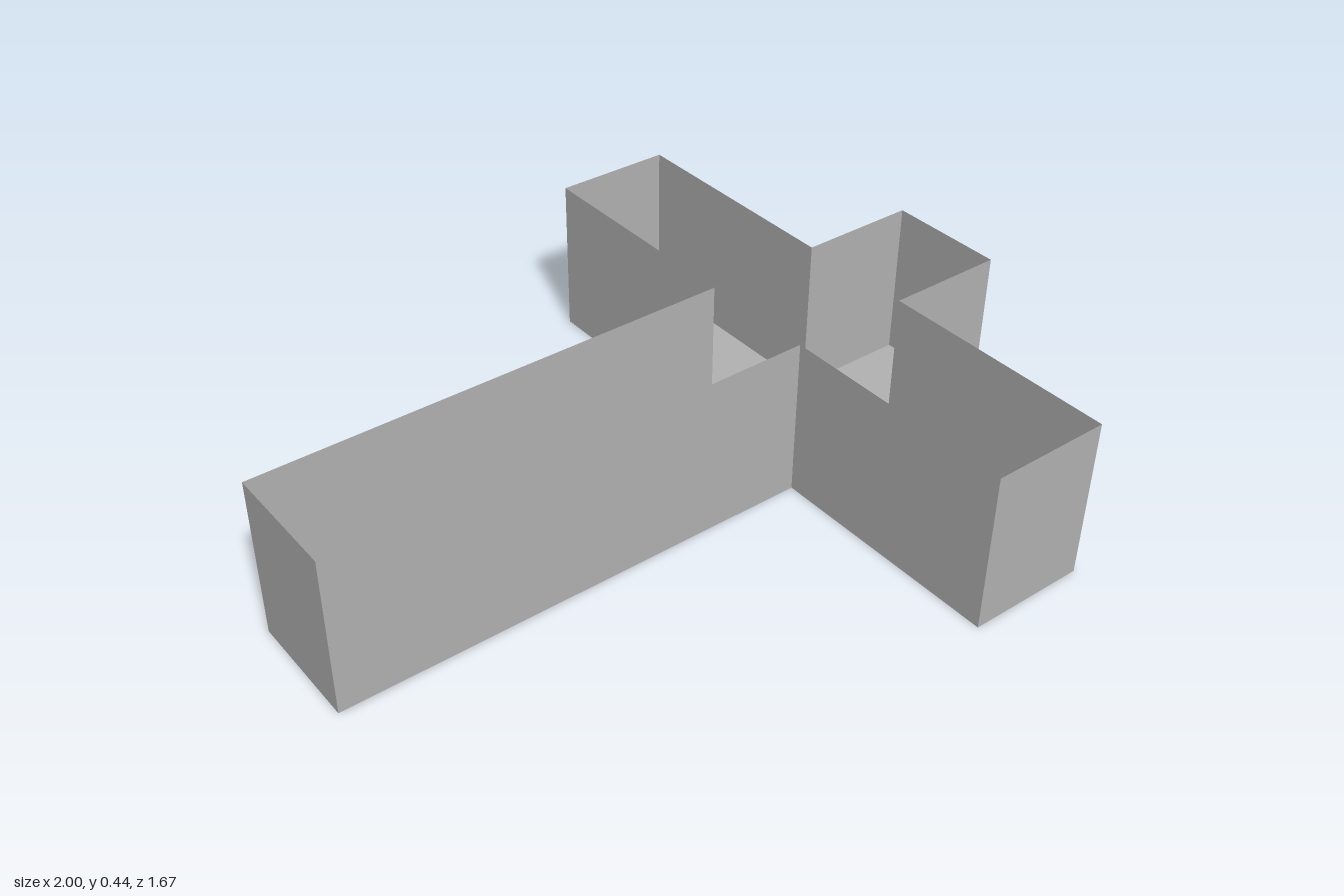
import * as THREE from 'three';

const HEIGHT = 0.445;
const HALF = 1 / 6;          // half the arm width
const REACH = 5 / 6;         // half the crossbar length
const BAR = [1 / 3, 2 / 3];  // crossbar extent in x

export function createModel() {
  const model = new THREE.Group();
  model.name = 'crossTray';
  const grey = new THREE.MeshStandardMaterial({ color: 0xb2b2b2, side: THREE.DoubleSide });
  grey.name = 'grey';

  // Cross outline in (x, z): front half, then its mirror image
  const front = [[-1, HALF], [BAR[0], HALF], [BAR[0], REACH], [BAR[1], REACH], [BAR[1], HALF], [1, HALF]];
  const back = front.map(([x, z]) => [x, -z]).reverse();
  const outline = [...front, ...back].map(([x, z]) => new THREE.Vector2(x, z));

  // Closed floor
  const floor = new THREE.Mesh(new THREE.ShapeGeometry(new THREE.Shape(outline)), grey);
  floor.name = 'floor';
  floor.rotation.x = Math.PI / 2;
  model.add(floor);

  // Thin upright wall along every edge, open at the top
  const walls = new THREE.Group();
  walls.name = 'walls';
  outline.forEach((a, i) => {
    const b = outline[(i + 1) % outline.length];
    const wall = new THREE.Mesh(new THREE.PlaneGeometry(a.distanceTo(b), HEIGHT), grey);
    wall.name = 'wall';
    wall.position.set((a.x + b.x) / 2, HEIGHT / 2, (a.y + b.y) / 2);
    wall.rotation.y = Math.atan2(a.y - b.y, b.x - a.x);
    walls.add(wall);
  });
  model.add(walls);
  return model;
}
